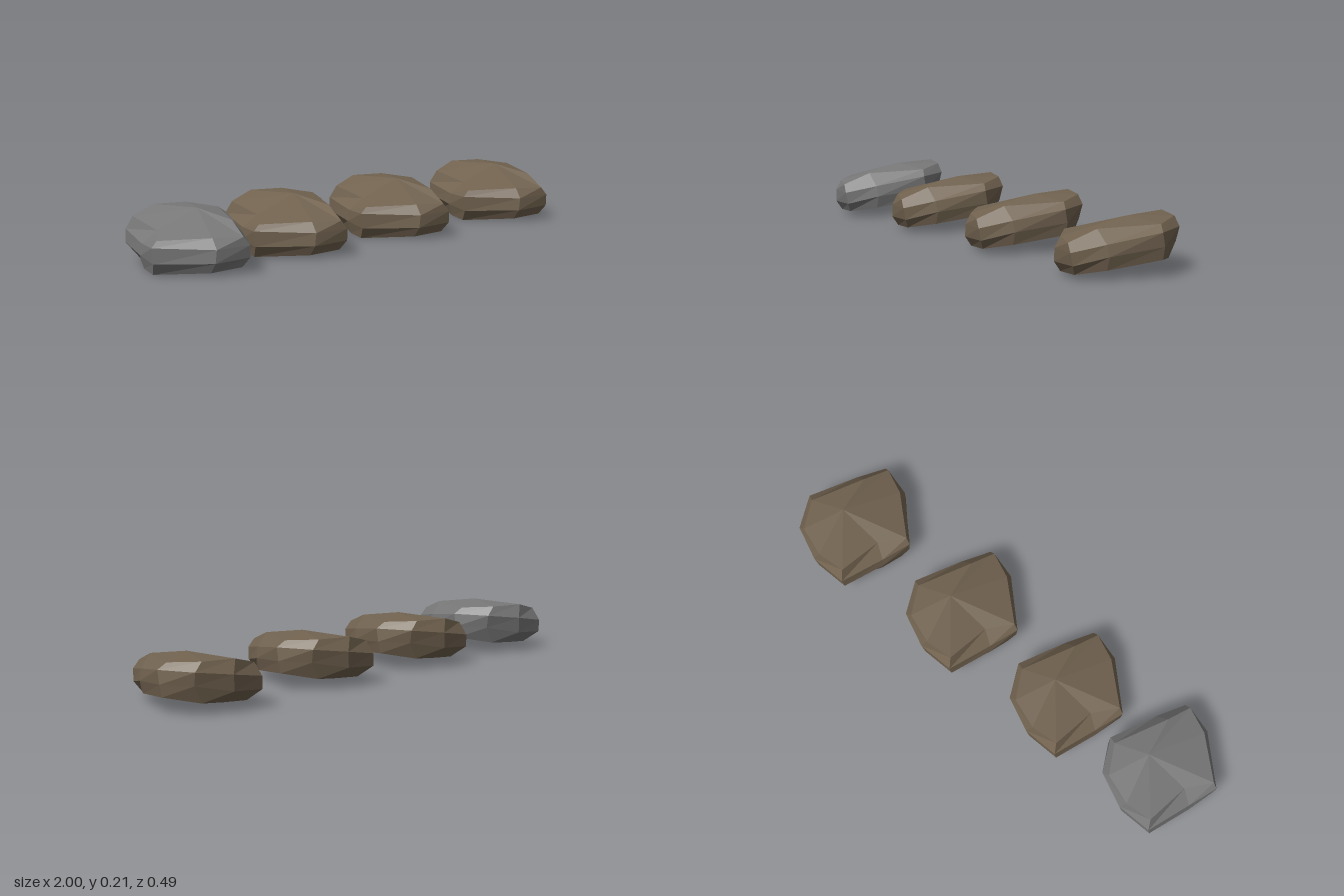
import * as THREE from 'three';

// Faceted boulder: four uneven rings of nine corners [x, y, z], lowest first
const rings = [
  [[-.11, .02, -.165], [0, .03, -.165], [.11, .045, -.175], [.205, .065, -.07], [.135, .037, .125],
    [.07, .022, .218], [-.05, .012, .19], [-.19, 0, .03], [-.165, .005, -.06]],
  [[-.125, .07, -.235], [.01, .083, -.238], [.145, .113, -.178], [.215, .113, -.07], [.15, .087, .125],
    [.09, .058, .24], [-.05, .05, .218], [-.208, .045, .06], [-.18, .055, -.06]],
  [[-.12, .12, -.24], [.02, .147, -.246], [.15, .165, -.19], [.215, .165, -.06], [.14, .13, .13],
    [.085, .105, .247], [-.045, .1, .22], [-.215, .105, .06], [-.175, .1, -.06]],
  [[-.105, .17, -.215], [0, .2, -.232], [.12, .2, -.19], [.185, .19, -.075], [.09, .18, .135],
    [.06, .137, .24], [-.045, .14, .195], [-.195, .13, .065], [-.125, .145, -.03]],
];
const crown = [.055, .207, -.03];
const base = [0, .02, .03];

function boulderGeometry() {
  const pos = [];
  const tri = (...corners) => corners.forEach((c) => pos.push(...c));
  const n = rings[0].length;
  for (let i = 0; i < n; i++) {
    const j = (i + 1) % n;
    // side bands
    for (let k = 0; k < rings.length - 1; k++) {
      const lo = rings[k], hi = rings[k + 1];
      tri(lo[j], lo[i], hi[i]);
      tri(lo[j], hi[i], hi[j]);
    }
    // top and underside
    tri(crown, rings[3][j], rings[3][i]);
    tri(base, rings[0][i], rings[0][j]);
  }
  const geometry = new THREE.BufferGeometry();
  geometry.setAttribute('position', new THREE.Float32BufferAttribute(pos, 3));
  geometry.computeVertexNormals();
  return geometry;
}

export function createModel() {
  const group = new THREE.Group();
  group.name = 'rocks';
  const grey = new THREE.MeshStandardMaterial({ color: 0x787878, flatShading: true });
  grey.name = 'grey stone';
  const brown = new THREE.MeshStandardMaterial({ color: 0x726350, flatShading: true });
  brown.name = 'brown stone';

  // A row of equal boulders: one grey, three brown
  const geometry = boulderGeometry();
  [-.785, -.322, .215, .785].forEach((x, i) => {
    const rock = new THREE.Mesh(geometry, i === 0 ? grey : brown);
    rock.name = i === 0 ? 'greyRock' : `brownRock${i}`;
    rock.position.x = x;
    group.add(rock);
  });
  return group;
}
